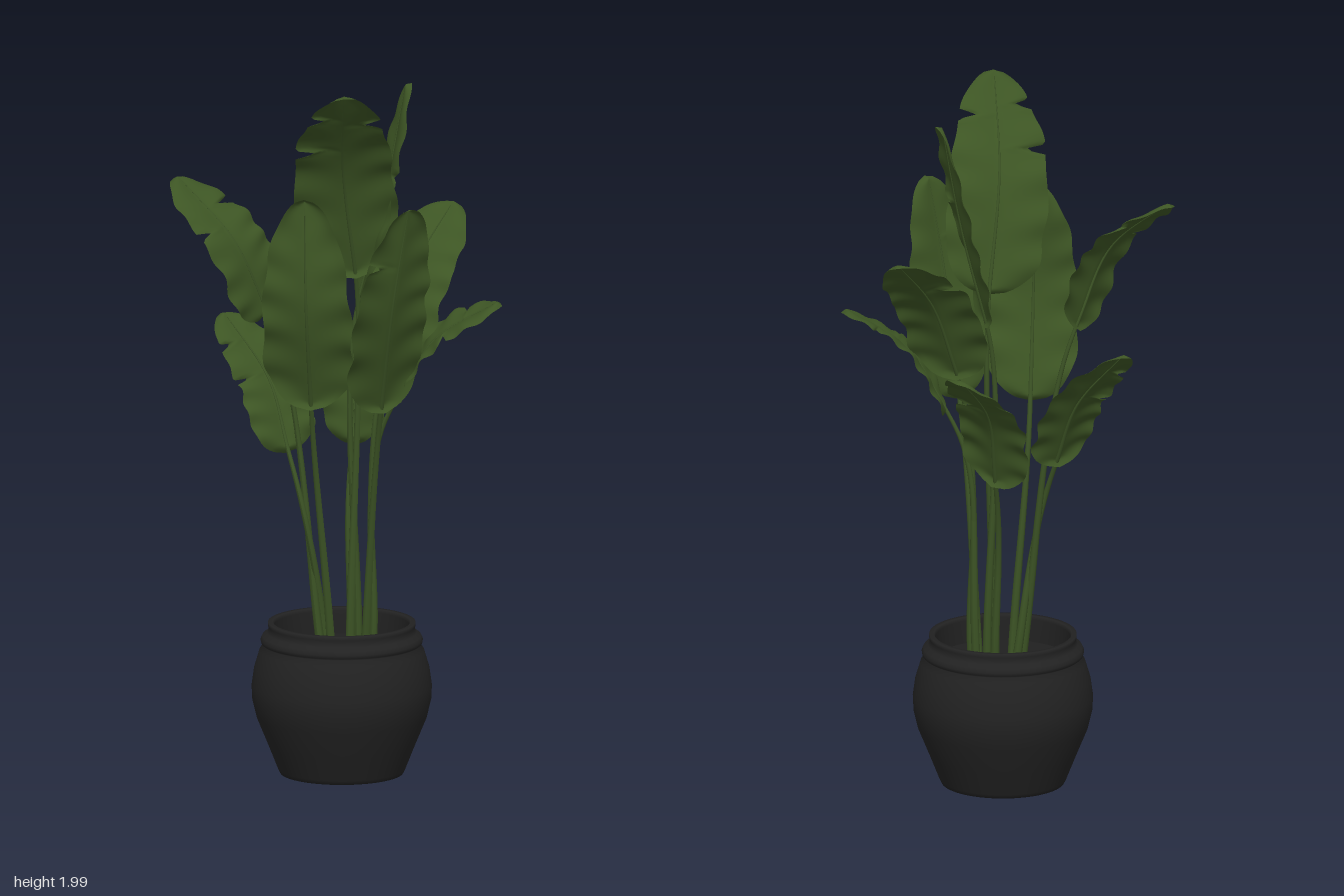
import * as THREE from 'three';

const leafMat = new THREE.MeshStandardMaterial({ color: 0x3d5524, side: THREE.DoubleSide });
leafMat.name = 'leaf green';
const stemMat = new THREE.MeshStandardMaterial({ color: 0x3b5224 });
stemMat.name = 'stem green';
const potMat = new THREE.MeshStandardMaterial({ color: 0x222222, side: THREE.DoubleSide });
potMat.name = 'pot black';
const soilMat = new THREE.MeshStandardMaterial({ color: 0x202020 });
soilMat.name = 'soil dark';

const V = (a) => new THREE.Vector3(...a);

// root on the soil, base / middle / tip of the blade, direction across the blade, full width, torn spots (sign = side)
const LEAVES = [
  { name: 'tallFrontLeaf', root: [0.04, 0.06], base: [0.05, 1.43, 0.04], mid: [0.045, 1.74, 0.14], tip: [0.1, 1.99, 0.31], across: [0.9, 0, -0.42], width: 0.28, tears: [-0.62, -0.83, 0.78] },
  { name: 'tallBackLeaf', root: [0.05, 0.01], base: [0.05, 1.35, 0.0], mid: [0.11, 1.63, -0.045], tip: [0.15, 1.94, -0.11], across: [0.5, 0, 0.85], width: 0.2, tears: [0.6] },
  { name: 'frontLeaf', root: [0.0, 0.1], base: [-0.03, 1.08, 0.2], mid: [-0.02, 1.38, 0.28], tip: [-0.03, 1.67, 0.26], across: [1, 0, -0.14], width: 0.25, tears: [] },
  { name: 'frontLeftLeaf', root: [0.09, 0.08], base: [0.17, 1.08, 0.18], mid: [0.23, 1.39, 0.265], tip: [0.28, 1.67, 0.28], across: [0.55, 0, -0.8], width: 0.25, tears: [-0.7] },
  { name: 'leftLeaf', root: [0.1, 0.04], base: [0.17, 1.08, 0.02], mid: [0.28, 1.25, 0.02], tip: [0.45, 1.36, 0.0], across: [0.15, -0.2, 0.95], width: 0.24, tears: [0.6, -0.75] },
  { name: 'backLeftLeaf', root: [0.08, 0.01], base: [0.13, 1.2, -0.02], mid: [0.175, 1.42, -0.12], tip: [0.24, 1.58, -0.27], across: [0.85, -0.33, 0.27], width: 0.24, tears: [-0.65] },
  { name: 'backLeaf', root: [0.02, -0.02], base: [0.0, 0.92, -0.1], mid: [0.0, 1.12, -0.18], tip: [0.04, 1.28, -0.35], across: [0.85, 0.03, 0.46], width: 0.24, tears: [-0.7, 0.55] },
  { name: 'lowerRightLeaf', root: [-0.02, 0.07], base: [-0.13, 0.93, 0.1], mid: [-0.2, 1.11, 0.05], tip: [-0.345, 1.28, 0.0], across: [-0.4, -0.3, 0.8], width: 0.22, tears: [0.55, 0.8] },
  { name: 'upperRightLeaf', root: [-0.03, 0.1], base: [-0.18, 1.32, 0.13], mid: [-0.26, 1.53, 0.185], tip: [-0.44, 1.69, 0.13], across: [-0.26, -0.18, 0.92], width: 0.25, tears: [0.6, -0.75] },
];

// half width along the blade: round base, long taper, blunt tip
function outline(u) {
  const near = Math.sqrt(Math.max(0, 1 - (1 - Math.min(u / 0.22, 1)) ** 2));
  const far = Math.max(0, 1 - Math.max((u - 0.3) / 0.7, 0) ** 2.6) ** 0.54;
  return near * far;
}

// blade: a grid swept along the midrib, folded, rippled and torn at the edges
function bladeGeometry(curve, leaf, phase) {
  const nu = 72, nv = 14;
  const pos = [], idx = [];
  const across = V(leaf.across).normalize();
  for (let i = 0; i <= nu; i++) {
    const u = i / nu;
    const p = curve.getPoint(u), t = curve.getTangent(u);
    const w = across.clone().addScaledVector(t, -across.dot(t)).normalize();
    const n = new THREE.Vector3().crossVectors(t, w);
    if (n.dot(new THREE.Vector3(-p.x, 0.6, -p.z)) < 0) n.negate();
    for (let j = 0; j <= nv; j++) {
      const v = (j / nv) * 2 - 1, a = Math.abs(v);
      let half = outline(u) * leaf.width / 2;
      for (const s of leaf.tears) {
        if (s * v > 0) half *= 1 - 0.5 * Math.max(0, 1 - Math.abs(u - Math.abs(s)) / 0.022);
      }
      half *= 1 + 0.035 * Math.sin(u * 23 + phase + v);
      const lift = 0.022 * a * outline(u) - 0.018 * a ** 3
        + 0.006 * a ** 1.4 * outline(u) * Math.sin(u * 34 + phase * 2 + Math.sign(v) * 1.3 - a * 2);
      const q = p.clone().addScaledVector(w, v * half).addScaledVector(n, lift)
        .addScaledVector(t, 0.02 * a * a * (u - 0.6));
      pos.push(q.x, q.y, q.z);
      if (i < nu && j < nv) {
        const k = i * (nv + 1) + j, m = k + nv + 1;
        idx.push(k, k + 1, m, k + 1, m + 1, m);
      }
    }
  }
  const g = new THREE.BufferGeometry();
  g.setAttribute('position', new THREE.Float32BufferAttribute(pos, 3));
  g.setIndex(idx);
  g.computeVertexNormals();
  return g;
}

// tube whose radius follows a rule along its length
function taperedTube(curve, segments, radiusAt) {
  const sides = 8, g = new THREE.TubeGeometry(curve, segments, 1, sides);
  const pos = g.attributes.position, q = new THREE.Vector3();
  for (let i = 0; i <= segments; i++) {
    const c = curve.getPointAt(i / segments);
    for (let j = 0; j <= sides; j++) {
      const k = i * (sides + 1) + j;
      q.fromBufferAttribute(pos, k).sub(c).multiplyScalar(radiusAt(i / segments)).add(c);
      pos.setXYZ(k, q.x, q.y, q.z);
    }
  }
  g.computeVertexNormals();
  return g;
}

function makeLeaf(leaf, i) {
  const group = new THREE.Group();
  group.name = leaf.name;
  const rib = new THREE.CatmullRomCurve3([V(leaf.base), V(leaf.mid), V(leaf.tip)]);
  const root = new THREE.Vector3(leaf.root[0], 0.34, leaf.root[1]);
  const base = V(leaf.base);
  const stalk = new THREE.CubicBezierCurve3(
    root,
    root.clone().lerp(base, 0.3).add(new THREE.Vector3(0, 0.06, 0)),
    base.clone().addScaledVector(rib.getTangent(0), -0.25),
    base
  );

  // stalk running on into the midrib
  const path = new THREE.CatmullRomCurve3([
    ...stalk.getPoints(8), ...rib.getPoints(8).slice(1, -1), rib.getPoint(0.97),
  ]);
  const stem = new THREE.Mesh(taperedTube(path, 48, (t) => 0.0012 + 0.0115 * (1 - t) ** 0.9), stemMat);
  stem.name = 'stem';
  const blade = new THREE.Mesh(bladeGeometry(rib, leaf, i * 1.7), leafMat);
  blade.name = 'blade';
  group.add(stem, blade);
  return group;
}

function makePot() {
  const group = new THREE.Group();
  group.name = 'pot';
  // foot, belly, collar, lip and inner wall
  const profile = [
    [0, 0], [0.172, 0], [0.178, 0.012], [0.205, 0.08], [0.238, 0.16], [0.25, 0.21], [0.252, 0.25],
    [0.245, 0.3], [0.23, 0.35], [0.219, 0.366], [0.225, 0.371], [0.227, 0.38], [0.222, 0.391],
    [0.209, 0.4], [0.204, 0.41], [0.206, 0.419], [0.206, 0.43], [0.192, 0.43],
    [0.188, 0.42], [0.188, 0.33],
  ].map(([r, y]) => new THREE.Vector2(r, y));
  const shell = new THREE.Mesh(new THREE.LatheGeometry(profile, 64), potMat);
  shell.name = 'potShell';
  const soil = new THREE.Mesh(new THREE.CylinderGeometry(0.189, 0.189, 0.02, 48), soilMat);
  soil.name = 'soil';
  soil.position.y = 0.345;
  group.add(shell, soil);
  group.position.set(0.013, 0, 0.048);
  return group;
}

export function createModel() {
  const model = new THREE.Group();
  model.name = 'pottedPlant';
  model.add(makePot());
  LEAVES.forEach((leaf, i) => model.add(makeLeaf(leaf, i)));
  return model;
}
